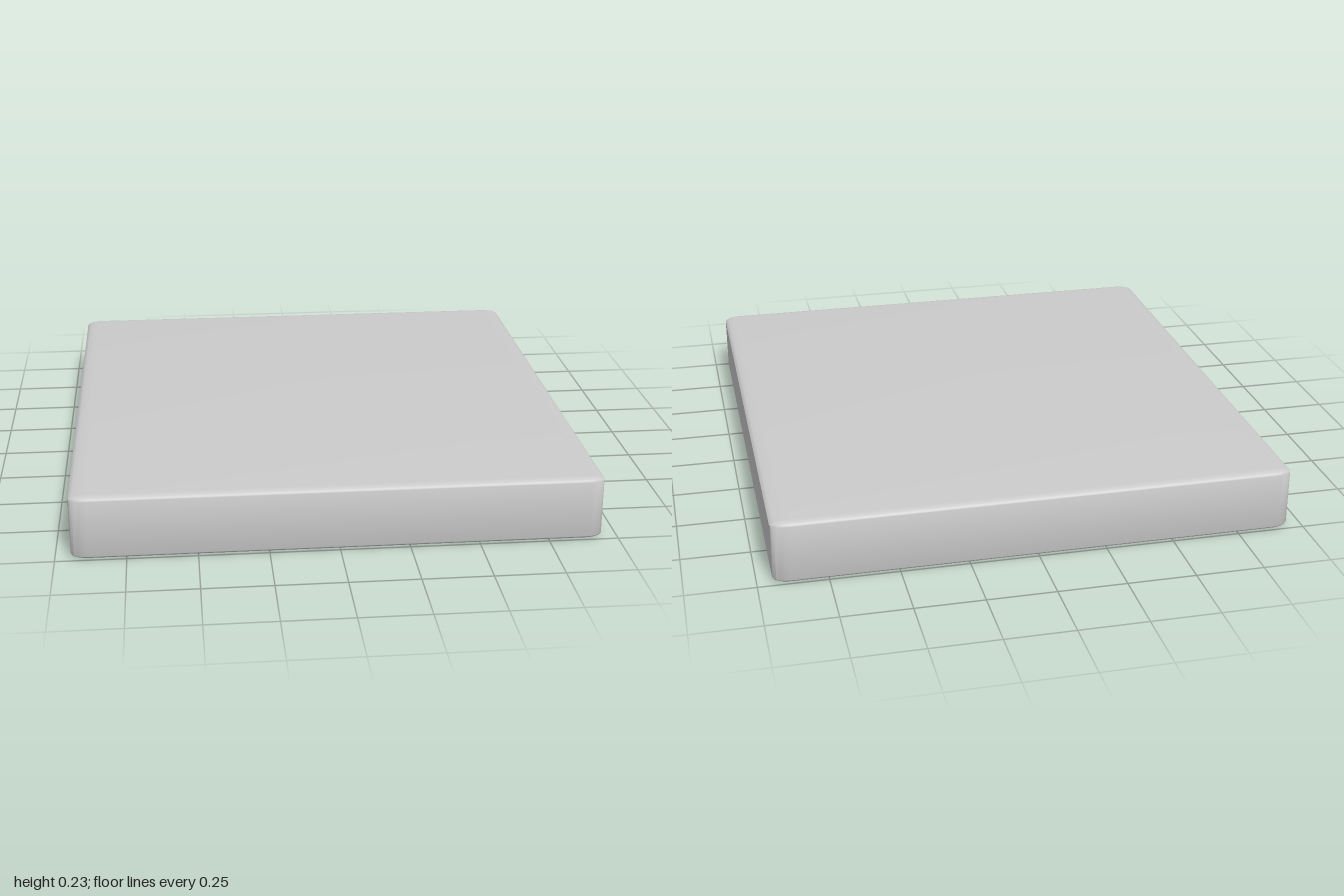
import * as THREE from 'three';
import { toCreasedNormals } from 'three/addons/utils/BufferGeometryUtils.js';

const STEPS = 5; // segments per rounded corner
const HX = 0.945, HZ = 1, H = 0.235; // half width, half depth, height
const EX = 0.065, EY = 0.014, EZ = 0.035; // edge rounding along x, y and z
const RX = 0.69, RZ = 0.775, RR = 0.16, DEPTH = 0.075; // underside recess

// Rounded rectangle at height y: straight core plus elliptical corners
function ring(coreX, coreZ, rx, rz, y) {
  const points = [];
  const signs = [[1, 1], [-1, 1], [-1, -1], [1, -1]];
  signs.forEach(([sx, sz], q) => {
    for (let i = 0; i <= STEPS; i++) {
      const a = (q + i / STEPS) * Math.PI / 2;
      points.push(new THREE.Vector3(sx * coreX + rx * Math.cos(a), y, sz * coreZ + rz * Math.sin(a)));
    }
  });
  return points;
}

// Skin neighbouring rings with triangles, leaving out collapsed ones
function loft(rings) {
  const pos = [];
  const tri = (a, b, c) => {
    if (new THREE.Triangle(a, b, c).getArea() < 1e-9) return;
    for (const p of [a, b, c]) pos.push(p.x, p.y, p.z);
  };
  for (let i = 0; i < rings.length - 1; i++) {
    const lo = rings[i], hi = rings[i + 1], n = lo.length;
    for (let j = 0; j < n; j++) {
      const k = (j + 1) % n;
      tri(lo[j], hi[j], lo[k]);
      tri(lo[k], hi[j], hi[k]);
    }
  }
  const geometry = new THREE.BufferGeometry();
  geometry.setAttribute('position', new THREE.Float32BufferAttribute(pos, 3));
  return toCreasedNormals(geometry, 0.6);
}

export function createModel() {
  const group = new THREE.Group();
  group.name = 'slab';

  const recess = (y) => ring(RX - RR, RZ - RR, RR, RR, y);
  const edge = (t, y) => ring(HX - EX, HZ - EZ, EX * Math.cos(t), EZ * Math.cos(t), y);

  // Recess floor and wall, then the underside
  const rings = [ring(0, 0, 0, 0, DEPTH), recess(DEPTH), recess(0)];
  // Rounded lower edge
  for (let i = STEPS; i >= 0; i--) {
    const t = i / STEPS * Math.PI / 2;
    rings.push(edge(t, EY * (1 - Math.sin(t))));
  }
  // Side walls and rounded upper edge
  for (let i = 0; i <= STEPS; i++) {
    const t = i / STEPS * Math.PI / 2;
    rings.push(edge(t, H - EY * (1 - Math.sin(t))));
  }
  // Top face
  rings.push(ring(0, 0, 0, 0, H));

  const body = new THREE.Mesh(loft(rings), new THREE.MeshStandardMaterial({ color: 0xcccccc }));
  body.name = 'slabBody';
  group.add(body);
  return group;
}
